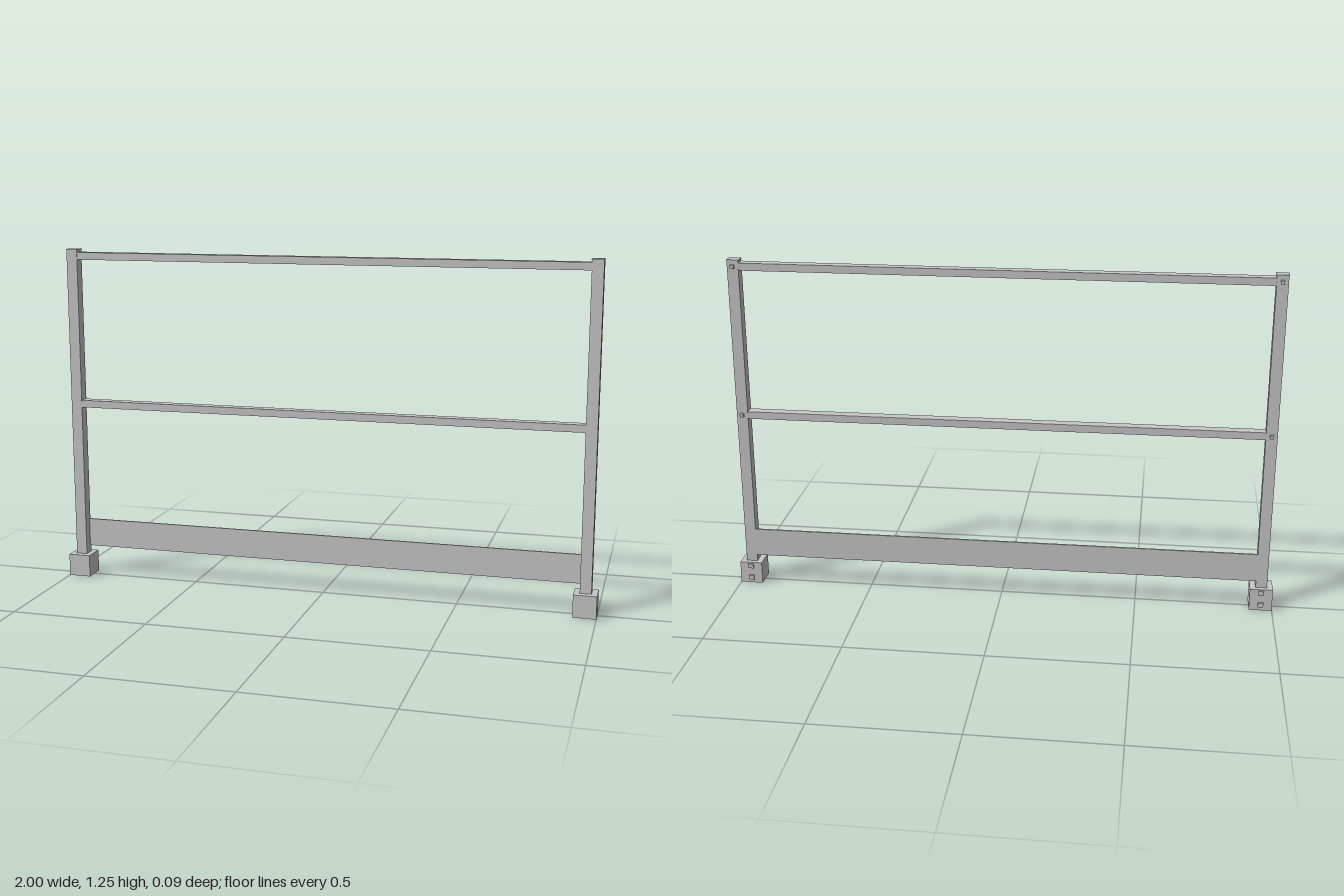
import * as THREE from 'three';

export function createModel() {
  const group = new THREE.Group();
  const steel = new THREE.MeshStandardMaterial({ color: 0xc7c7c7 });
  steel.name = 'light grey steel';

  // Box given by its centre and size
  function box(name, x, y, z, w, h, d) {
    const mesh = new THREE.Mesh(new THREE.BoxGeometry(w, h, d), steel);
    mesh.name = name;
    mesh.position.set(x, y, z);
    group.add(mesh);
  }

  const postX = 0.9585;
  const railHeights = [1.225, 0.67];

  // Posts with clamp blocks, caps and bolts on the back
  for (const [side, s] of [['left', 1], ['right', -1]]) {
    const x = s * postX;
    box(side + 'Post', x, 0.665, 0, 0.041, 1.164, 0.041);
    box(side + 'PostCap', x, 1.2485, 0, 0.045, 0.003, 0.041);
    box(side + 'FootBlock', x, 0.0415, 0.003, 0.083, 0.083, 0.083);
    for (const y of railHeights) box(side + 'RailBolt', x, y + 0.001, -0.0255, 0.013, 0.013, 0.014);
    for (const y of [0.023, 0.07]) box(side + 'FootBolt', x, y, -0.041, 0.02, 0.017, 0.008);
  }

  // Horizontal rails between the posts
  const span = 2 * (postX - 0.0205);
  box('topRail', 0, railHeights[0], 0, span, 0.027, 0.039);
  box('middleRail', 0, railHeights[1], 0, span, 0.027, 0.039);

  // Thin toe board, flush with the back of the posts
  box('toeBoard', 0, 0.161, -0.017, span, 0.106, 0.007);

  return group;
}
